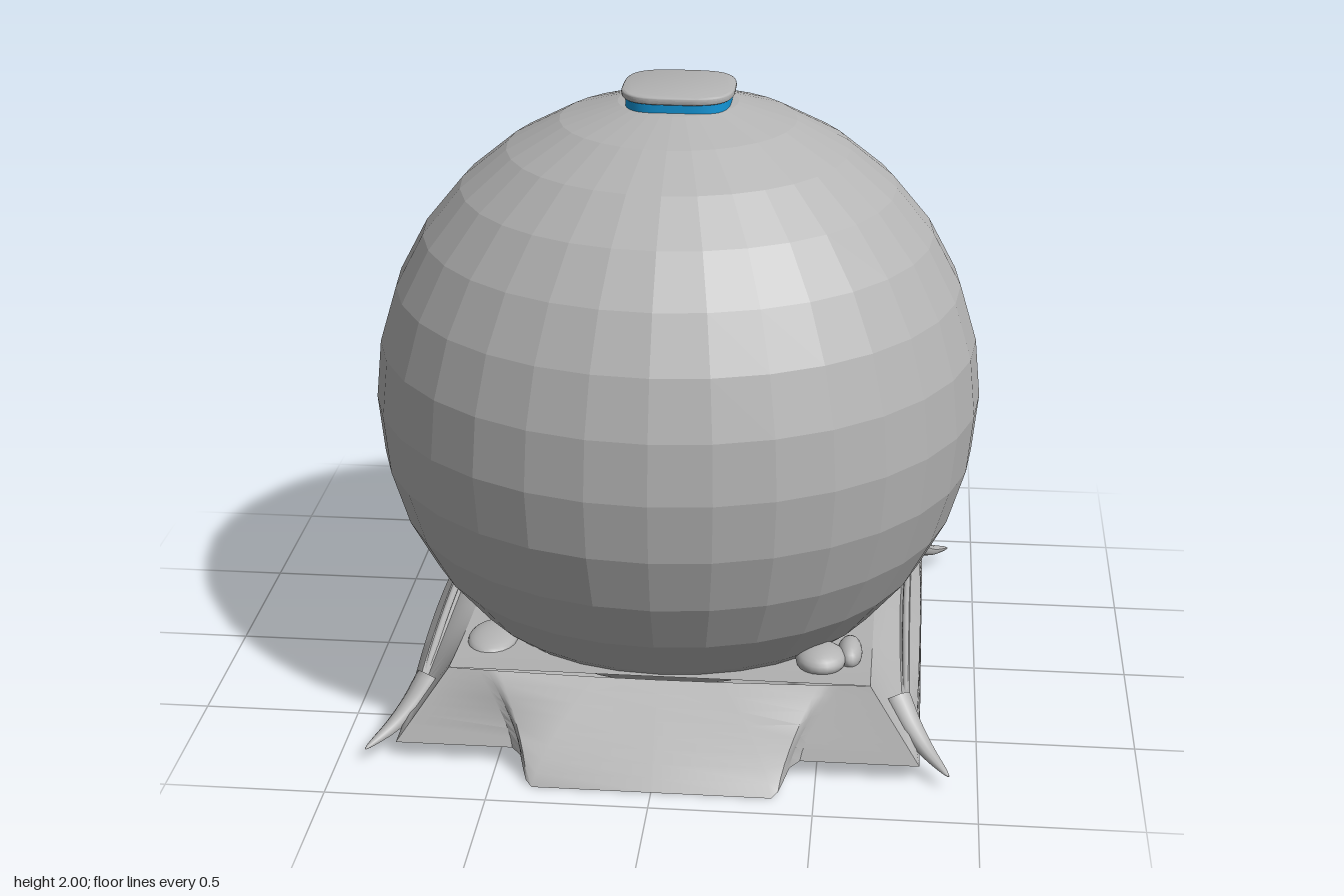
import * as THREE from 'three';
import { toCreasedNormals } from 'three/addons/utils/BufferGeometryUtils.js';

const lerp = THREE.MathUtils.lerp;
const Z0 = -0.02; // the base sits slightly towards the back

// Surface from a rule fn(u, v) with u, v in 0..1
function grid(nu, nv, fn, flip) {
  const pos = [], idx = [];
  for (let j = 0; j <= nv; j++)
    for (let i = 0; i <= nu; i++) pos.push(...fn(i / nu, j / nv));
  for (let j = 0; j < nv; j++)
    for (let i = 0; i < nu; i++) {
      const a = j * (nu + 1) + i, b = a + 1, c = a + nu + 1, d = c + 1;
      idx.push(...(flip ? [a, c, b, b, c, d] : [a, b, c, b, d, c]));
    }
  const g = new THREE.BufferGeometry();
  g.setAttribute('position', new THREE.Float32BufferAttribute(pos, 3));
  g.setIndex(idx);
  return toCreasedNormals(g, 0.6);
}

// Lower edge of the base: [x, y, depth]; the wide centre flap blends into the wings
const HALF = [[0, 0, 0], [0.37, 0, 0.2], [0.39, 0.012, 0.5], [0.405, 0.03, 0.52], [0.42, 0.046, 0.54],
  [0.45, 0.055, 0.57], [0.82, 0.055, 0.66]];
const DEPTH = [0.93, 0.93, 0.91, 0.87, 0.82, 0.79, 0.79];
const EDGE = [...HALF.keys()].slice(1).reverse().map((k) => [-1, k])
  .concat([...HALF.keys()].map((k) => [1, k]));
const N = EDGE.length - 1;
function edgePoint(u) {
  const [s, k] = EDGE[Math.round(u * N)];
  return { x: s * HALF[k][0], y: HALF[k][1], d: DEPTH[k], topX: s * HALF[k][2] };
}

// Closed outline with rounded, slightly bulging corners
function roundedSquare(r, n = 48) {
  const pts = [];
  for (let i = 0; i < n; i++) {
    const a = (i / n) * Math.PI * 2, c = Math.cos(a), s = Math.sin(a);
    pts.push(new THREE.Vector2(r * Math.sign(c) * Math.abs(c) ** 0.6, r * Math.sign(s) * Math.abs(s) ** 0.6));
  }
  return new THREE.Shape(pts);
}

// Tube whose radius follows a rule along its length
function taperedTube(points, radiusAt, squash = 1) {
  const curve = new THREE.CatmullRomCurve3(points.map((p) => new THREE.Vector3(...p)));
  const g = new THREE.TubeGeometry(curve, 20, 1, 10, false);
  const p = g.attributes.position, v = new THREE.Vector3();
  for (let i = 0; i < p.count; i++) {
    const t = Math.floor(i / 11) / 20, c = curve.getPointAt(t);
    v.fromBufferAttribute(p, i).sub(c).multiplyScalar(radiusAt(t));
    v.y *= squash;
    v.add(c);
    p.setXYZ(i, v.x, v.y, v.z);
  }
  g.computeVertexNormals();
  return g;
}

export function createModel() {
  const model = new THREE.Group();
  const grey = new THREE.MeshStandardMaterial({ color: 0xb4b4b4, side: THREE.DoubleSide });
  grey.name = 'grey';
  const blue = new THREE.MeshStandardMaterial({ color: 0x1296d8 });
  blue.name = 'blue';
  const add = (name, geometry, material = grey, parent = model) => {
    const m = new THREE.Mesh(geometry, material);
    m.name = name;
    parent.add(m);
    return m;
  };

  // Faceted globe
  const ball = new THREE.SphereGeometry(0.975, 32, 16).toNonIndexed();
  ball.computeVertexNormals();
  add('globe', ball).position.y = 0.99;

  // Cap: blue neck with a rounded lid on top
  const neck = new THREE.ExtrudeGeometry(roundedSquare(0.165), { depth: 0.06, bevelEnabled: false });
  const lid = new THREE.ExtrudeGeometry(roundedSquare(0.165),
    { depth: 0.004, bevelThickness: 0.011, bevelSize: 0.012, bevelSegments: 4 });
  for (const [name, g, y, mat] of [['capNeck', neck, 1.918, blue], ['capLid', lid, 1.985, grey]]) {
    g.rotateX(-Math.PI / 2);
    add(name, toCreasedNormals(g, 0.7), mat).position.set(0.003, y, 0);
  }

  const base = new THREE.Group();
  base.name = 'base';
  base.position.z = Z0;
  model.add(base);

  // Front and back skirts with their flared centre flaps
  for (const s of [1, -1])
    add(s > 0 ? 'frontSkirt' : 'backSkirt', grid(N, 8, (u, v) => {
      const e = edgePoint(u);
      const x = lerp(e.x, e.topX, v ** 1.4 * (Math.abs(e.x) > 0.5 ? 0 : 1) + (Math.abs(e.x) > 0.5 ? v : 0));
      const top = 0.28 - 0.012 * (1 - (e.topX / 0.66) ** 2);
      return [x, lerp(e.y, top, v), s * lerp(e.d, 0.7, v)];
    }, s < 0), grey, base);

  // Underside, one profile run from front to back
  add('underside', grid(N, 1, (u, v) => {
    const e = edgePoint(u);
    return [e.x, e.y, lerp(-e.d, e.d, v)];
  }, false), grey, base);

  // Dished top deck
  add('topDeck', grid(12, 16, (u, v) => {
    const q = v * 2 - 1;
    return [0.66 * (u * 2 - 1), 0.28 - 0.04 * (1 - q * q), 0.7 * q];
  }, true), grey, base);

  // Arched sides: [place up the corner edge, rise in the middle, push outwards]
  const SIDE = [[0, 0, 0], [0.1, 0.1, 0.01], [0.2, 0.12, -0.01], [0.28, 0.08, -0.03], [0.7, 0.02, -0.01], [1, -0.04, 0]];
  for (const s of [1, -1]) {
    const side = s > 0 ? 'left' : 'right';
    add(side + 'Side', grid(24, SIDE.length - 1, (u, v) => {
      const [t, rise, out] = SIDE[Math.round(v * (SIDE.length - 1))];
      const q = u * 2 - 1, arch = 1 - q * q;
      return [s * (lerp(0.82, 0.66, t) + out * arch), lerp(0.055, 0.28, t) + rise * arch, q * lerp(0.79, 0.7, t)];
    }, s > 0), grey, base);

    // Raised rail along the side arch
    add(side + 'Rail', taperedTube([[s * 0.78, 0.1, -0.72], [s * 0.77, 0.18, -0.38], [s * 0.765, 0.212, 0],
      [s * 0.77, 0.18, 0.38], [s * 0.78, 0.1, 0.72]], () => 0.012), grey, base);

    // Corner horns sweeping out and down
    for (const f of [1, -1]) {
      const end = f > 0 ? 'Front' : 'Back';
      add(side + end + 'Horn', taperedTube([[s * 0.74, 0.19, f * 0.6], [s * 0.785, 0.13, f * 0.66],
        [s * 0.84, 0.08, f * 0.73], [s * 0.91, 0.045, f * 0.825]],
      (t) => 0.046 * (1 - t) ** 0.7 + 0.003, 0.75), grey, base);
    }
  }

  // Soft lumps on the deck beside the globe
  for (const [x, y, z, rx, ry, rz] of [[0.5, 0.285, 0.54, 0.08, 0.045, 0.09], [0.59, 0.28, 0.48, 0.04, 0.045, 0.08],
    [0.56, 0.26, -0.45, 0.06, 0.045, 0.14], [-0.56, 0.26, 0.45, 0.08, 0.03, 0.12], [-0.56, 0.26, -0.45, 0.08, 0.03, 0.12]]) {
    const lump = add('deckLump', new THREE.SphereGeometry(1, 20, 12), grey, base);
    lump.scale.set(rx, ry, rz);
    lump.position.set(x, y, z);
  }
  return model;
}
